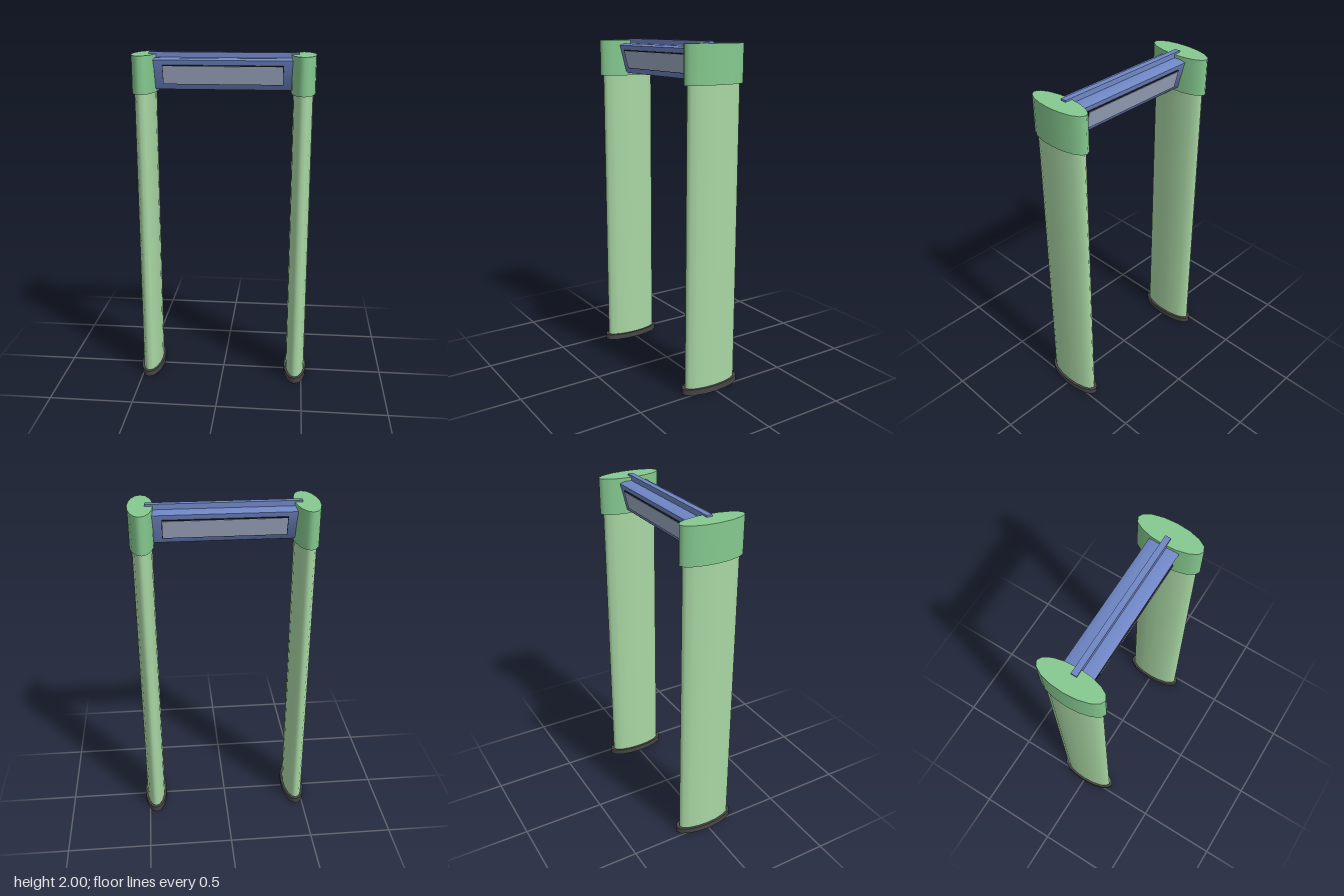
import * as THREE from 'three';
import { toCreasedNormals } from 'three/addons/utils/BufferGeometryUtils.js';

const material = (name, color) => {
  const m = new THREE.MeshStandardMaterial({ color });
  m.name = name;
  return m;
};

export function createModel() {
  const model = new THREE.Group();
  model.name = 'walkThroughGate';

  const paleGreen = material('paleGreen', 0xaad8a5);
  const green = material('green', 0x86ca90);
  const blue = material('blue', 0x6f87c6);
  const greyBlue = material('greyBlue', 0x9fabc4);
  const charcoal = material('charcoal', 0x484647);
  const black = material('black', 0x1c1c20);

  const add = (parent, name, geometry, mat) => {
    const mesh = new THREE.Mesh(geometry, mat);
    mesh.name = name;
    parent.add(mesh);
    return mesh;
  };

  // Upright elliptical prism between two heights
  const ellipse = (rx, rz, y0, y1) =>
    new THREE.CylinderGeometry(1, 1, y1 - y0, 16)
      .scale(rx, 1, rz)
      .translate(0, (y0 + y1) / 2, 0);

  // Two pillars, each with a foot, a post and a cap
  for (const side of [-1, 1]) {
    const pillar = new THREE.Group();
    pillar.name = side > 0 ? 'leftPillar' : 'rightPillar';
    pillar.position.x = side * 0.459;
    add(pillar, 'foot', ellipse(0.071, 0.193, 0, 0.035), charcoal);
    add(pillar, 'post', ellipse(0.058, 0.173, 0.035, 1.78), paleGreen);
    add(pillar, 'cap', ellipse(0.071, 0.193, 1.775, 1.99), green);
    model.add(pillar);
  }

  // Crossbeam: tapered section with softened edges, run along x
  const half = [[0.036, 1.79], [0.048, 1.80], [0.088, 1.96], [0.06, 1.97]];
  const outline = [...half, ...half.map(([z, y]) => [-z, y]).reverse()];
  const section = new THREE.Shape(outline.map(([z, y]) => new THREE.Vector2(z, y)));
  const beam = new THREE.ExtrudeGeometry(section, { depth: 0.84, bevelEnabled: false })
    .translate(0, 0, -0.42)
    .rotateY(Math.PI / 2);
  add(model, 'crossbeam', toCreasedNormals(beam, 0.9), blue);

  // Narrow rail along the top of the beam
  add(model, 'topRail', new THREE.BoxGeometry(0.866, 0.045, 0.033).translate(0, 1.9775, 0), blue);

  // Display panels on the sloping front and back faces
  const tilt = Math.atan2(0.04, 0.16);
  for (const [name, turn] of [['frontDisplay', 0], ['backDisplay', Math.PI]]) {
    const display = new THREE.Group();
    display.name = name;
    display.rotation.y = turn;
    const face = new THREE.Group();
    face.name = 'panel';
    face.position.set(0, 1.878, 0.0675);
    face.rotation.x = tilt;
    add(face, 'frame', new THREE.BoxGeometry(0.69, 0.112, 0.009), black).position.z = 0.003;
    add(face, 'screen', new THREE.BoxGeometry(0.682, 0.104, 0.004), greyBlue).position.z = 0.008;
    display.add(face);
    model.add(display);
  }

  return model;
}
